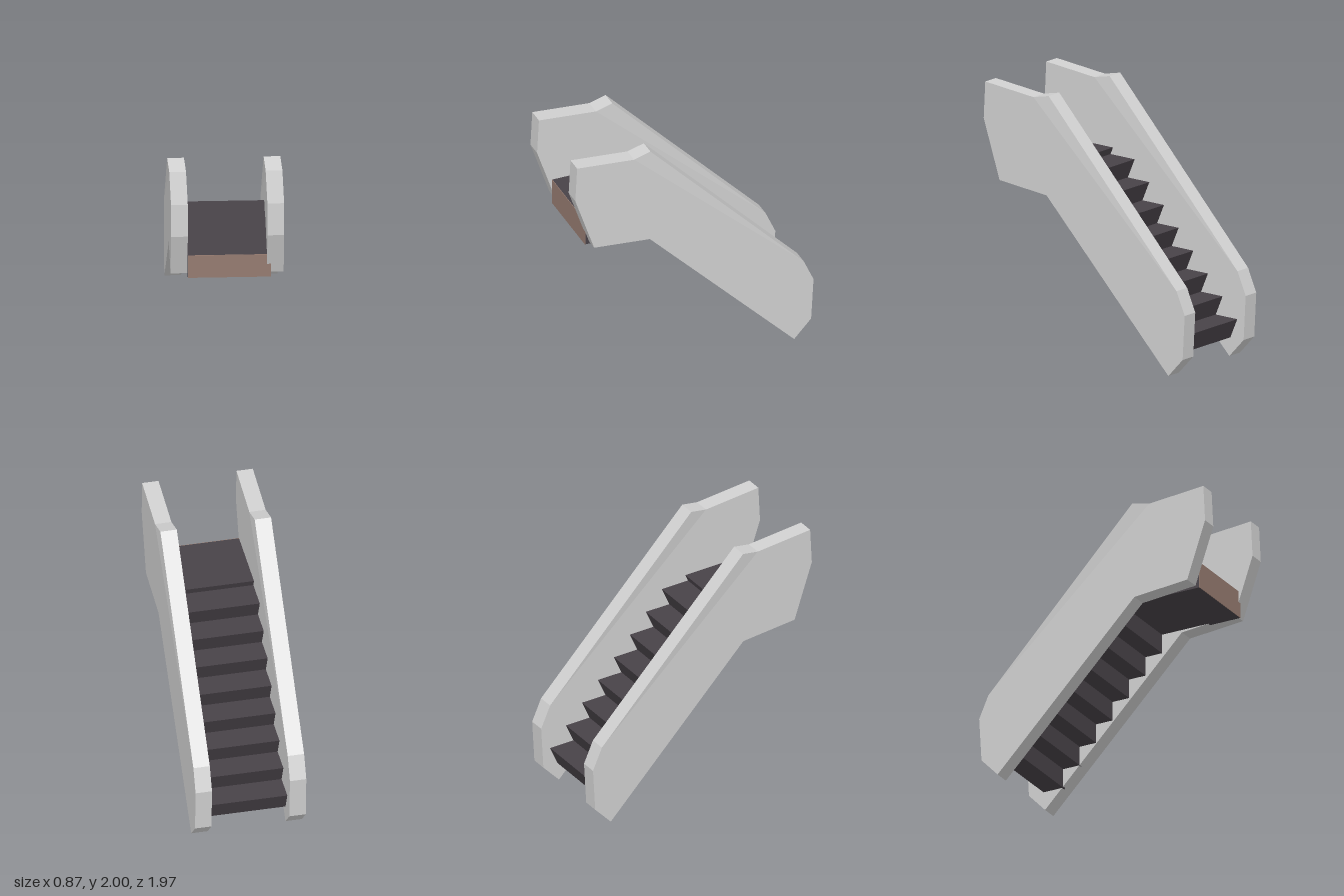
import * as THREE from 'three';

const flat = (name, color) => {
  const m = new THREE.MeshStandardMaterial({ color, flatShading: true });
  m.name = name;
  return m;
};

// Extrudes a side profile of [z, y] points along x, starting at x0
function sideExtrude(points, x0, width) {
  const shape = new THREE.Shape(points.map(([z, y]) => new THREE.Vector2(-z, y)));
  const geo = new THREE.ExtrudeGeometry(shape, { depth: width, bevelEnabled: false });
  return geo.rotateY(Math.PI / 2).translate(x0, 0, 0);
}

export function createModel() {
  const group = new THREE.Group();
  const wallGrey = flat('light grey', 0xd0d0d0);
  const stepDark = flat('dark step', 0x484248);
  const panelBrown = flat('brown panel', 0x957b70);

  const add = (name, geo, mat) => {
    const mesh = new THREE.Mesh(geo, mat);
    mesh.name = name;
    group.add(mesh);
  };

  // Side walls, with the upper bend leaning slightly sideways
  const wall = [
    [0.97, 2.0], [0.5, 1.96], [0.36, 1.99], [-0.9, 0.68], [-0.98, 0.5],
    [-0.96, 0.15], [-0.82, 0], [0.37, 1.21], [0.83, 1.25], [0.985, 1.71],
  ];
  for (const [name, x0] of [['leftWall', 0.305], ['rightWall', -0.425]]) {
    const geo = sideExtrude(wall, x0, 0.127);
    const p = geo.attributes.position;
    for (let i = 0; i < p.count; i++) {
      if (Math.abs(p.getZ(i) - 0.36) < 0.005 && p.getY(i) > 1.9) p.setX(i, p.getX(i) - 0.012);
    }
    geo.computeVertexNormals();
    add(name, geo, wallGrey);
  }

  // Steps with undercut risers
  const stepX = -0.295, stepWidth = 0.63, rise = 0.1543, run = 0.1433;
  for (let i = 0; i < 8; i++) {
    const z = -0.9 + run * i, y = 0.15 + rise * i;
    const profile = [
      [z, y + rise], [z + 0.067, y], [z + 0.238, y], [z + 0.238, y + rise],
    ];
    add('step' + (i + 1), sideExtrude(profile, stepX, stepWidth), stepDark);
  }

  // Top landing and its front panel
  const landing = [
    [0.86, 1.23], [0.86, 1.44], [0.315, 1.44], [0.338, 1.385], [0.338, 1.23],
  ];
  add('landing', sideExtrude(landing, stepX, stepWidth), stepDark);
  const panel = new THREE.BoxGeometry(stepWidth, 0.21, 0.004);
  panel.translate(stepX + stepWidth / 2, 1.335, 0.862);
  add('landingFrontPanel', panel, panelBrown);

  return group;
}
